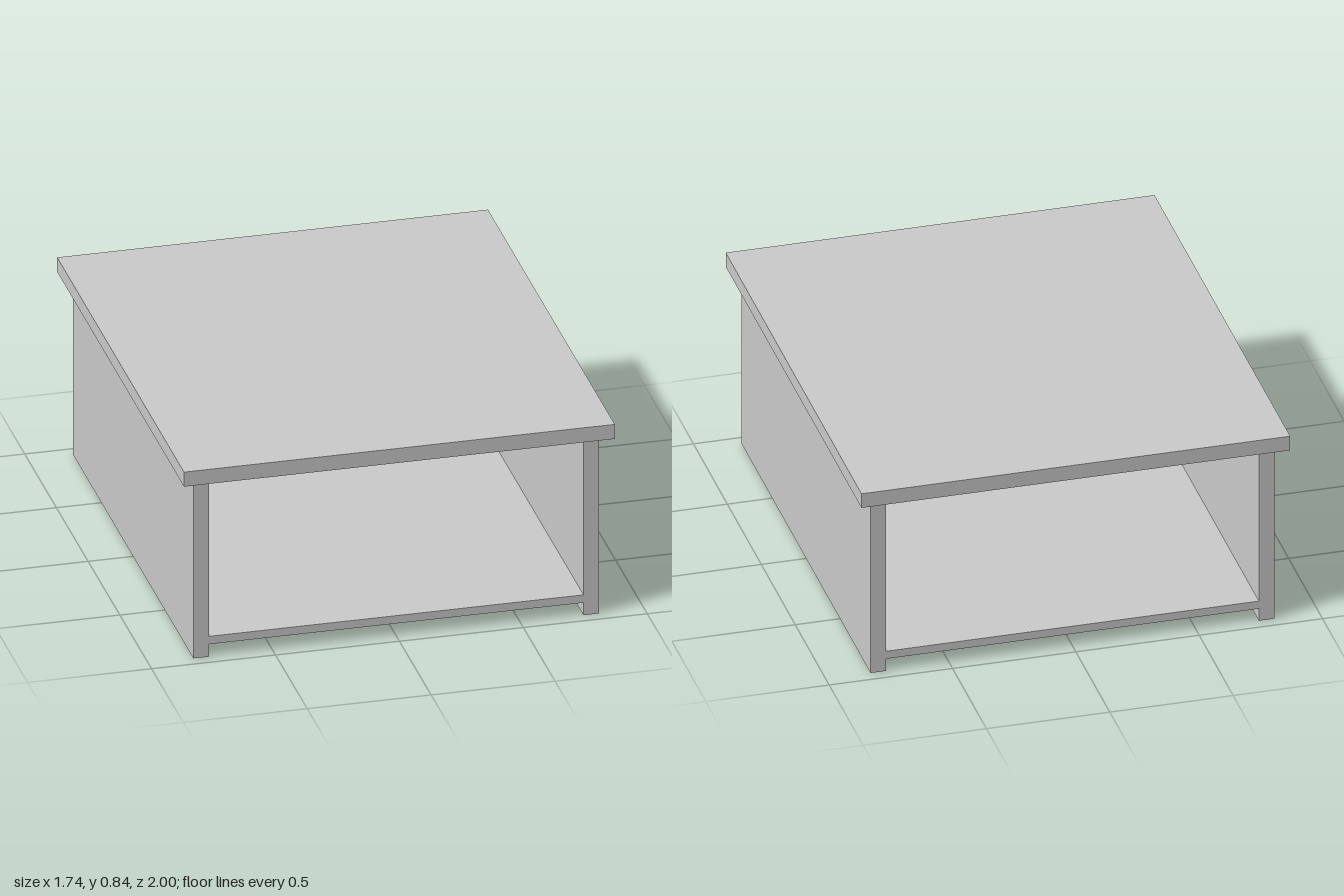
import * as THREE from 'three';

export function createModel() {
  const model = new THREE.Group();
  const grey = new THREE.MeshStandardMaterial({ color: 0xcccccc });
  grey.name = 'light grey';

  // Box resting on a given height
  const board = (name, width, height, depth, x, bottom) => {
    const mesh = new THREE.Mesh(new THREE.BoxGeometry(width, height, depth), grey);
    mesh.name = name;
    mesh.position.set(x, bottom + height / 2, 0);
    model.add(mesh);
  };

  // Overhanging table top
  board('tableTop', 1.738, 0.063, 2, 0, 0.774);

  // Full-depth side panels
  for (const [name, side] of [['leftPanel', 1], ['rightPanel', -1]]) {
    board(name, 0.063, 0.774, 1.9, side * 0.787, 0);
  }

  // Thin lower shelf between the panels
  board('lowerShelf', 1.511, 0.034, 1.9, 0, 0.054);

  return model;
}
